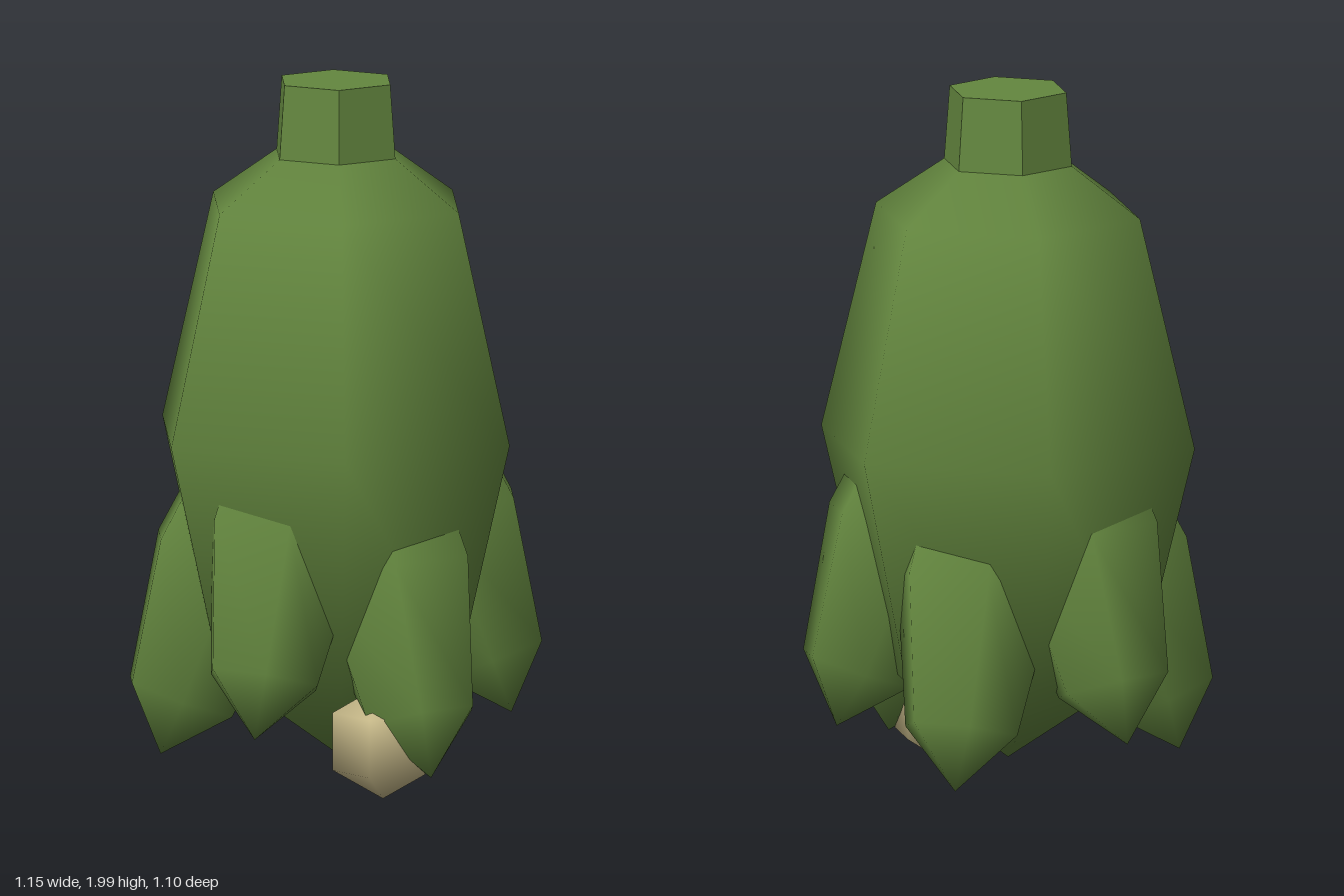
import * as THREE from 'three';

const green = new THREE.MeshStandardMaterial({ color: 0x64873f });
green.name = 'leaf green';
const tan = new THREE.MeshStandardMaterial({ color: 0xc8ba8a });
tan.name = 'pale tan';

// Low-poly hexagonal ellipsoid with corners facing front and back
function hexEllipsoid(rx, ry, rz) {
  return new THREE.SphereGeometry(1, 6, 4).rotateY(Math.PI / 2).scale(rx, ry, rz);
}

function addPart(group, name, geometry, material, x, y, z) {
  const mesh = new THREE.Mesh(geometry, material);
  mesh.name = name;
  mesh.position.set(x, y, z);
  group.add(mesh);
  return mesh;
}

export function createModel() {
  const model = new THREE.Group();
  model.name = 'hangingPod';

  // Main pod
  addPart(model, 'body', hexEllipsoid(0.55, 0.92, 0.55), green, 0, 1, 0);

  // Faceted stem on top
  const stem = new THREE.CylinderGeometry(0.172, 0.195, 0.3, 6).toNonIndexed();
  stem.computeVertexNormals();
  addPart(model, 'stem', stem, green, 0, 1.85, 0);

  // Six lobes around the lower half, alternating in height and leaning outwards
  const lobe = hexEllipsoid(0.244, 0.59, 0.166);
  const lean = 0.34;
  for (let i = 0; i < 6; i++) {
    const a = (i * Math.PI) / 3;
    const c = Math.cos(a), s = Math.sin(a);
    const mesh = addPart(model, 'lobe' + (i + 1), lobe, green,
      0.297 * c, i % 2 ? 0.637 : 0.749, 0.297 * s);
    mesh.rotation.set(-s * lean, 0, c * lean);
  }

  // Small pale seed tucked under the front lobe
  addPart(model, 'seed', new THREE.SphereGeometry(0.164, 5, 3), tan, 0.117, 0.17, 0.333);

  return model;
}
